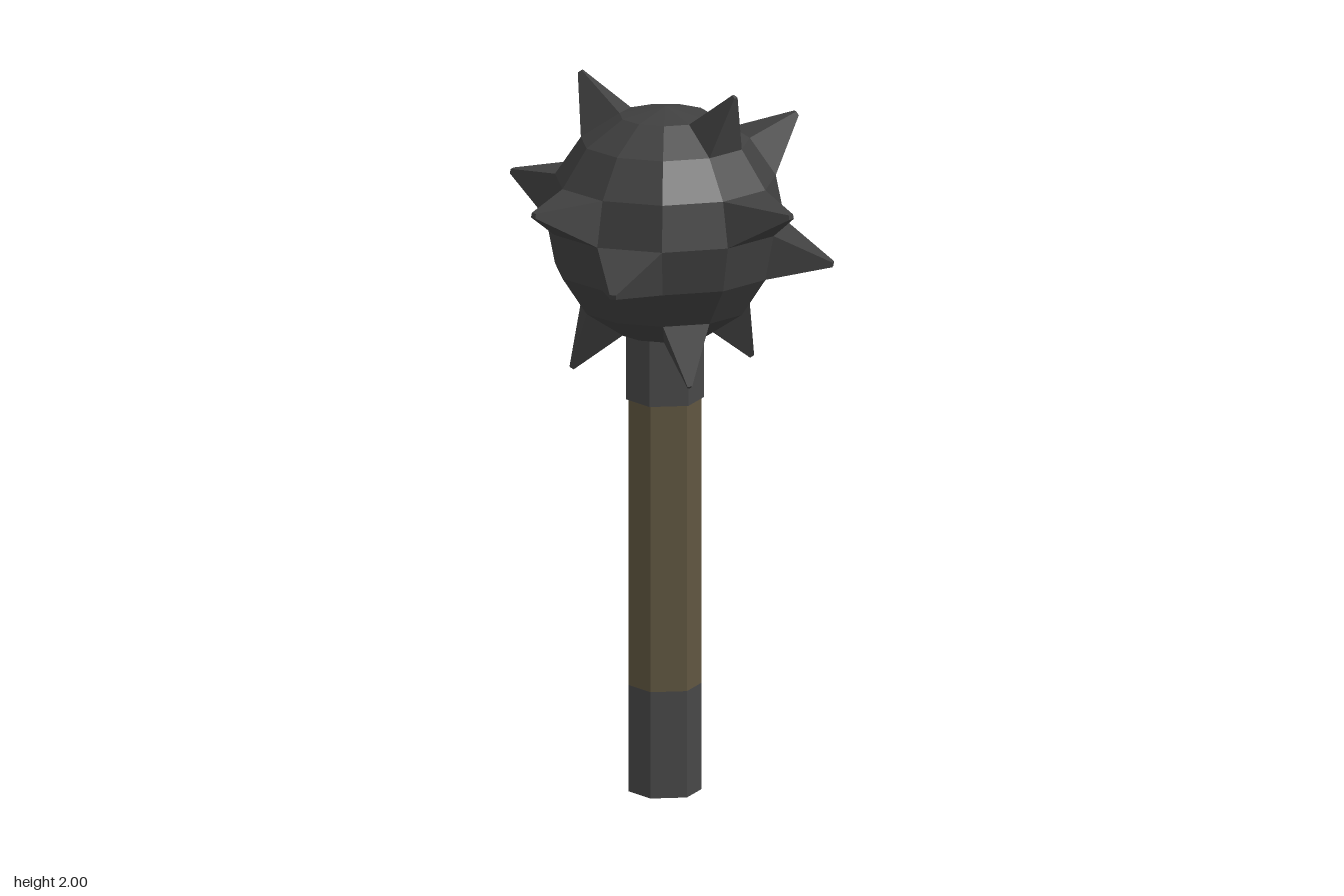
import * as THREE from 'three';

const SIDES = 11, RINGS = 8, RADIUS = 0.33, TIP_RADIUS = 0.476, TIP_SCALE = 0.1;

// Facets of the ball drawn out into spikes: [band from the top, sector from +x towards +z]
const SPIKES = [
  [1, 1], [1, 6],
  [2, 10],
  [3, 1], [3, 4], [3, 6], [3, 8],
  [4, 0], [4, 3], [4, 9],
  [5, 7],
  [6, 2], [6, 5], [6, 10],
];

const material = (color) =>
  new THREE.MeshStandardMaterial({ color, flatShading: true });

// Corner of the ball's grid
function ballPoint(ring, sector) {
  const t = (ring / RINGS) * Math.PI, p = (sector / SIDES) * Math.PI * 2;
  return new THREE.Vector3(
    Math.sin(t) * Math.cos(p), Math.cos(t), Math.sin(t) * Math.sin(p)
  ).multiplyScalar(RADIUS);
}

// Tapers one facet out to a small blunt tip
function spikeGeometry(band, sector) {
  const base = [
    ballPoint(band, sector), ballPoint(band, sector + 1),
    ballPoint(band + 1, sector + 1), ballPoint(band + 1, sector),
  ];
  const centre = new THREE.Vector3();
  base.forEach((v) => centre.addScaledVector(v, 0.25));
  const tipCentre = centre.clone().setLength(TIP_RADIUS);
  const tip = base.map((v) => v.clone().sub(centre).multiplyScalar(TIP_SCALE).add(tipCentre));

  const points = [];
  const quad = (a, b, c, d) => points.push(a, b, c, a, c, d);
  for (let i = 0; i < 4; i++) {
    const n = (i + 1) % 4;
    quad(base[i], base[n], tip[n], tip[i]);
  }
  quad(...tip);
  const geometry = new THREE.BufferGeometry().setFromPoints(points);
  geometry.computeVertexNormals();
  return geometry;
}

// Six-sided rod section with corners on the x axis
function hexRod(name, radius, y0, y1, mat) {
  const geometry = new THREE.CylinderGeometry(radius, radius, y1 - y0, 6);
  geometry.rotateY(Math.PI / 2);
  const mesh = new THREE.Mesh(geometry, mat);
  mesh.name = name;
  mesh.position.y = (y0 + y1) / 2;
  return mesh;
}

export function createModel() {
  const model = new THREE.Group();
  model.name = 'spikedMace';
  const iron = material(0x404040), steel = material(0x484848), wood = material(0x605640);

  // Handle
  const body = new THREE.Group();
  body.name = 'body';
  body.position.set(-0.03, 0, 0.02);
  model.add(body);
  body.add(
    hexRod('pommelBand', 0.1, 0, 0.3, steel),
    hexRod('handle', 0.1, 0.3, 1.11, wood),
    hexRod('collar', 0.107, 1.106, 1.32, steel)
  );

  // Head
  const head = new THREE.Group();
  head.name = 'head';
  head.position.y = 1.6;
  body.add(head);
  const ballGeometry = new THREE.SphereGeometry(RADIUS, SIDES, RINGS);
  ballGeometry.rotateY(Math.PI);
  const ball = new THREE.Mesh(ballGeometry, iron);
  ball.name = 'ball';
  head.add(ball);
  for (const [band, sector] of SPIKES) {
    const spike = new THREE.Mesh(spikeGeometry(band, sector), iron);
    spike.name = 'spike';
    head.add(spike);
  }
  return model;
}
